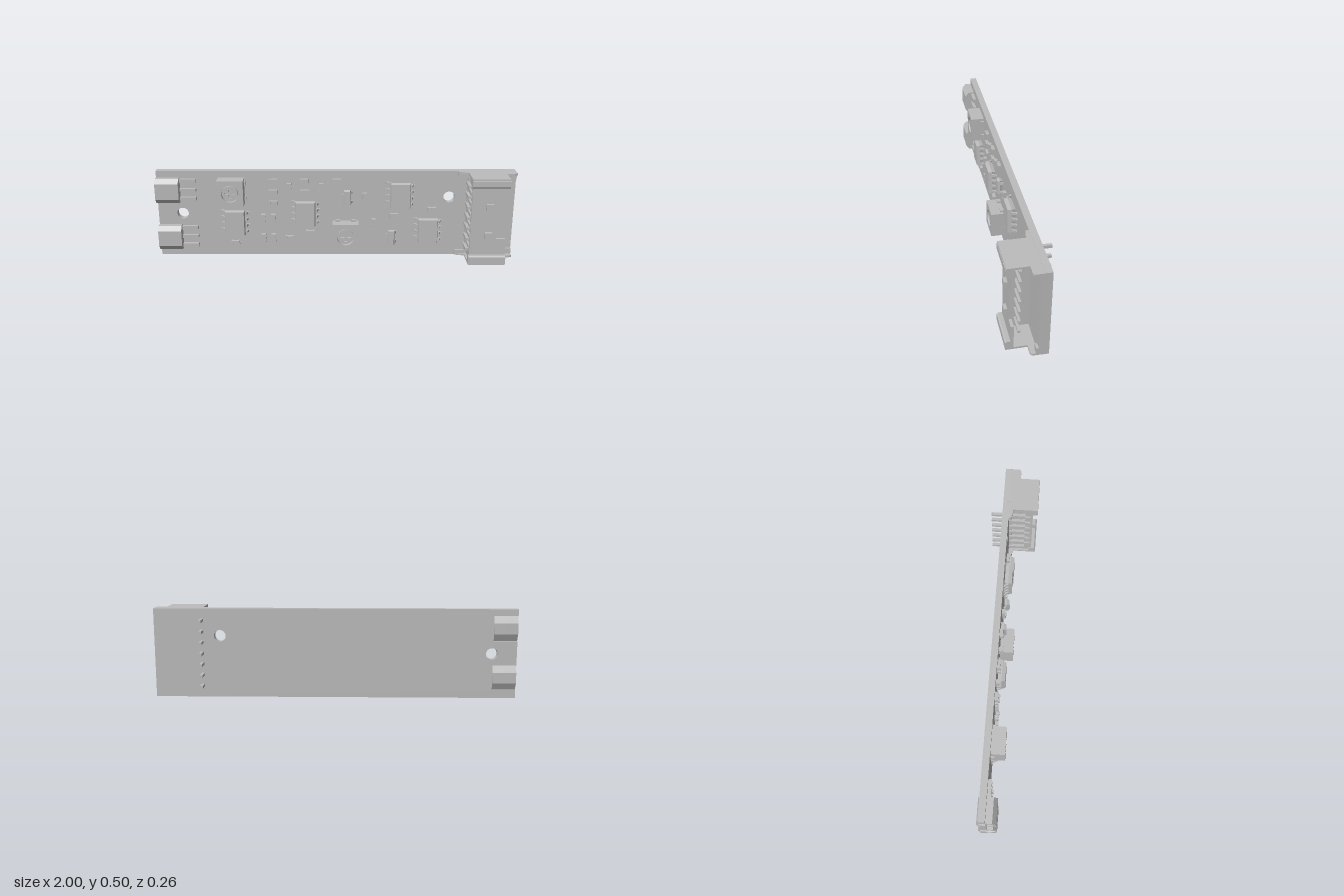
import * as THREE from 'three';

const grey = new THREE.MeshStandardMaterial({ color: 0xbcbcbc });
const BACK = -0.068, FACE = -0.032; // board faces in z

function add(parent, name, geometry) {
  const mesh = new THREE.Mesh(geometry, grey);
  mesh.name = name;
  parent.add(mesh);
  return mesh;
}

// Box given by its extents
function box(parent, name, x0, x1, y0, y1, z0, z1) {
  const m = add(parent, name, new THREE.BoxGeometry(x1 - x0, y1 - y0, z1 - z0));
  m.position.set((x0 + x1) / 2, (y0 + y1) / 2, (z0 + z1) / 2);
  return m;
}

function polygon(points) {
  return new THREE.Shape(points.map(([x, y]) => new THREE.Vector2(x, y)));
}

function hole(x, y, r) {
  return new THREE.Path().absarc(x, y, r, 0, Math.PI * 2, true);
}

function extrude(shape, depth) {
  return new THREE.ExtrudeGeometry(shape, { depth, bevelEnabled: false, curveSegments: 24 });
}

function group(parent, name, x = 0, y = 0, z = 0) {
  const g = new THREE.Group();
  g.name = name;
  g.position.set(x, y, z);
  parent.add(g);
  return g;
}

// Board with edge notches for the two sensors and two mounting holes
function addBoard(root) {
  const shape = polygon([[-1, 0], [1, 0], [1, 0.497], [-1, 0.497],
    [-1, 0.46], [-0.87, 0.46], [-0.87, 0.32], [-1, 0.32],
    [-1, 0.184], [-0.87, 0.184], [-0.87, 0.045], [-1, 0.045]]);
  shape.holes.push(hole(-0.863, 0.249, 0.032), hole(0.636, 0.345, 0.032));
  add(root, 'board', extrude(shape, FACE - BACK)).position.z = BACK;
}

// Chamfered sensor with a round socket opening at the board edge
function addSensor(root, y) {
  const g = group(root, 'edgeSensor', -1, y, -0.027);
  const profile = () => polygon([[-0.05, -0.03], [-0.03, -0.07], [0.03, -0.07], [0.05, -0.045],
    [0.05, 0.045], [0.03, 0.07], [-0.03, 0.07], [-0.05, 0.03]].map(([z, w]) => [-z, w]));
  const front = profile();
  front.holes.push(hole(0, 0, 0.042));
  const socket = add(g, 'sensorSocket', extrude(front, 0.07));
  const body = add(g, 'sensorBody', extrude(profile(), 0.06));
  socket.rotation.y = body.rotation.y = Math.PI / 2;
  body.position.x = 0.07;
  for (const dy of [-0.053, 0, 0.053]) {
    const w = dy ? 0.011 : 0.008;
    box(g, 'sensorLead', 0.12, 0.22, dy - w, dy + w, -0.005, 0.014);
  }
}

// Trimmer with recessed slotted rotor
function addTrimmer(root, x, y, turn) {
  const g = group(root, 'trimmer', x, y, FACE);
  g.rotation.z = turn;
  box(g, 'trimmerBase', -0.073, 0.073, -0.073, 0.073, 0, 0.055);
  const s = polygon([[-0.073, -0.073], [0.073, -0.073], [0.073, 0.073], [-0.073, 0.073]]);
  s.holes.push(hole(0, 0, 0.048));
  add(g, 'trimmerCover', extrude(s, 0.02)).position.z = 0.055;
  const rotor = new THREE.Shape().absarc(0, 0, 0.043, 0, Math.PI * 2);
  const a = 0.007, b = 0.03;
  rotor.holes.push(new THREE.Path([[a, a], [a, b], [-a, b], [-a, a], [-b, a], [-b, -a],
    [-a, -a], [-a, -b], [a, -b], [a, -a], [b, -a], [b, a]].map(p => new THREE.Vector2(...p))));
  add(g, 'trimmerRotor', extrude(rotor, 0.012)).position.z = 0.055;
  box(g, 'trimmerTab', -0.083, -0.07, -0.022, 0.022, 0, 0.02);
  for (const dy of [-0.045, 0.045]) box(g, 'trimmerTab', 0.07, 0.083, dy - 0.013, dy + 0.013, 0, 0.02);
}

// Gull-wing lead running out along +x (or -x for side = -1)
function addLead(g, side, x0, x1, y, width, height) {
  const m = (x0 + x1) / 2, t = 0.007;
  const s = polygon([[x0, height - t], [m - t, height - t], [m, 0], [x1, 0],
    [x1, t], [m + t, t], [m, height], [x0, height]]);
  const lead = add(g, 'chipLead', extrude(s, width));
  lead.rotation.x = Math.PI / 2;
  lead.position.set(0, y + width / 2, 0);
  if (side < 0) {
    lead.rotation.set(-Math.PI / 2, Math.PI, 0, 'YXZ');
    lead.rotation.set(Math.PI / 2, 0, Math.PI, 'ZXY');
  }
}

// Moulded package: a box whose faces draft inward away from the middle
function addPackage(g, name, w, h, z0, z1) {
  const geo = new THREE.BoxGeometry(w, h, z1 - z0, 1, 1, 2).toNonIndexed();
  const p = geo.attributes.position;
  for (let i = 0; i < p.count; i++) {
    if (Math.abs(p.getZ(i)) > 1e-4) {
      p.setX(i, p.getX(i) - Math.sign(p.getX(i)) * 0.005);
      p.setY(i, p.getY(i) - Math.sign(p.getY(i)) * 0.005);
    }
  }
  geo.computeVertexNormals();
  add(g, name, geo).position.z = (z0 + z1) / 2;
}

function addChip(root, x, y) {
  const g = group(root, 'chip', x, y, FACE);
  addPackage(g, 'chipBody', 0.114, 0.146, 0.004, 0.045);
  for (const side of [-1, 1])
    for (let i = 0; i < 4; i++) addLead(g, side, 0.05, 0.082, (i - 1.5) * 0.036, 0.013, 0.026);
}

function addTransistor(root, x, y) {
  const g = group(root, 'transistor', x, y, FACE);
  addPackage(g, 'transistorBody', 0.04, 0.088, 0.003, 0.032);
  addLead(g, -1, 0.015, 0.031, 0, 0.013, 0.018);
  for (const dy of [-0.028, 0.028]) addLead(g, 1, 0.015, 0.031, dy, 0.013, 0.018);
}

// Small two-terminal part with end caps
function addPassive(root, x, y, upright) {
  const g = group(root, 'passive', x, y, FACE);
  if (upright) g.rotation.z = Math.PI / 2;
  box(g, 'passiveBody', -0.014, 0.014, -0.0115, 0.0115, 0, 0.018);
  for (const s of [-1, 1]) box(g, 'passiveCap', s * 0.019 - 0.005, s * 0.019 + 0.005, -0.0125, 0.0125, 0, 0.02);
}

// Side-entry connector opening toward +x
function addConnector(root) {
  const g = group(root, 'connector');
  box(g, 'floor', 0.735, 0.975, 0.002, 0.495, FACE, -0.015);
  box(g, 'floorLip', 0.97, 1, 0.002, 0.495, FACE, -0.018);
  box(g, 'rearWall', 0.748, 0.8, 0.01, 0.487, -0.015, 0.1);
  // front wall with a shallow notch on its open edge
  const wall = polygon([[0.742, 0.04], [0.94, 0.04], [0.94, 0.145], [0.887, 0.145],
    [0.887, 0.352], [0.94, 0.352], [0.94, 0.457], [0.742, 0.457]]);
  add(g, 'frontWall', extrude(wall, 0.015)).position.z = 0.09;
  for (const y of [0.168, 0.332]) box(g, 'latchBump', 0.82, 0.86, y - 0.018, y + 0.018, 0.1, 0.123);
  for (const top of [false, true]) {
    const flip = v => top ? 0.497 - v : v;
    const part = (name, x0, x1, a, b, z0, z1) =>
      box(g, name, x0, x1, Math.min(flip(a), flip(b)), Math.max(flip(a), flip(b)), z0, z1);
    // thin side wall stepping down toward the mouth, with a sloped rear foot
    const side = polygon([[0.68, FACE], [1, FACE], [1, 0.015], [0.985, 0.022], [0.94, 0.022],
      [0.94, 0.13], [0.735, 0.13], [0.735, -0.005], [0.7, -0.012], [0.68, -0.022]]);
    const m = add(g, 'sideWall', extrude(side, 0.011));
    m.rotation.x = Math.PI / 2;
    m.position.y = top ? 0.496 : 0.012;
    part('rearFoot', 0.68, 0.74, 0.002, 0.03, FACE, -0.014);
    part('mouthPost', 0.965, 1, 0.002, 0.045, FACE, -0.005);
    // ear rail overhanging the front wall
    const ear = polygon([[0.002, 0.09], [0.04, 0.09], [0.052, 0.105], [0.052, 0.124],
      [0.045, 0.132], [0.01, 0.132], [0.002, 0.124]].map(([y, z]) => [-z, flip(y)]));
    const e = add(g, 'ear', extrude(ear, 0.205));
    e.rotation.y = Math.PI / 2;
    e.position.x = 0.735;
  }
  // seven bent pins passing through the board, with ribs between them
  for (let i = 0; i < 7; i++) {
    const y = 0.067 + i * 0.0608;
    box(g, 'pinTail', 0.727, 0.743, y - 0.008, y + 0.008, -0.132, 0.062);
    box(g, 'pin', 0.727, 0.9, y - 0.007, y + 0.007, 0.048, 0.062);
    if (i < 6) box(g, 'rearRib', 0.737, 0.75, y + 0.0225, y + 0.0385, -0.015, 0.095);
  }
}

export function createModel() {
  const root = new THREE.Group();
  root.name = 'circuitBoard';
  addBoard(root);
  addSensor(root, 0.39);
  addSensor(root, 0.1145);
  addTrimmer(root, -0.583, 0.385, 0);
  addTrimmer(root, 0.056, 0.131, Math.PI / 2);
  for (const [x, y] of [[-0.567, 0.2], [-0.17, 0.254], [0.361, 0.361], [0.521, 0.152]]) addChip(root, x, y);
  for (const [x, y] of [[0.064, 0.347], [0.315, 0.11]]) addTransistor(root, x, y);
  const flat = [[-0.35, 0.441], [-0.174, 0.441], [0.005, 0.441], [-0.35, 0.377], [-0.174, 0.377],
    [-0.35, 0.313], [0.329, 0.238], [0.54, 0.275], [-0.262, 0.104], [-0.144, 0.136], [-0.572, 0.075]];
  const upright = [[-0.26, 0.404], [-0.08, 0.404], [0.163, 0.348], [0.214, 0.195],
    [-0.409, 0.222], [-0.353, 0.222], [-0.409, 0.104], [-0.353, 0.104]];
  for (const [x, y] of flat) addPassive(root, x, y, false);
  for (const [x, y] of upright) addPassive(root, x, y, true);
  addConnector(root);
  return root;
}
